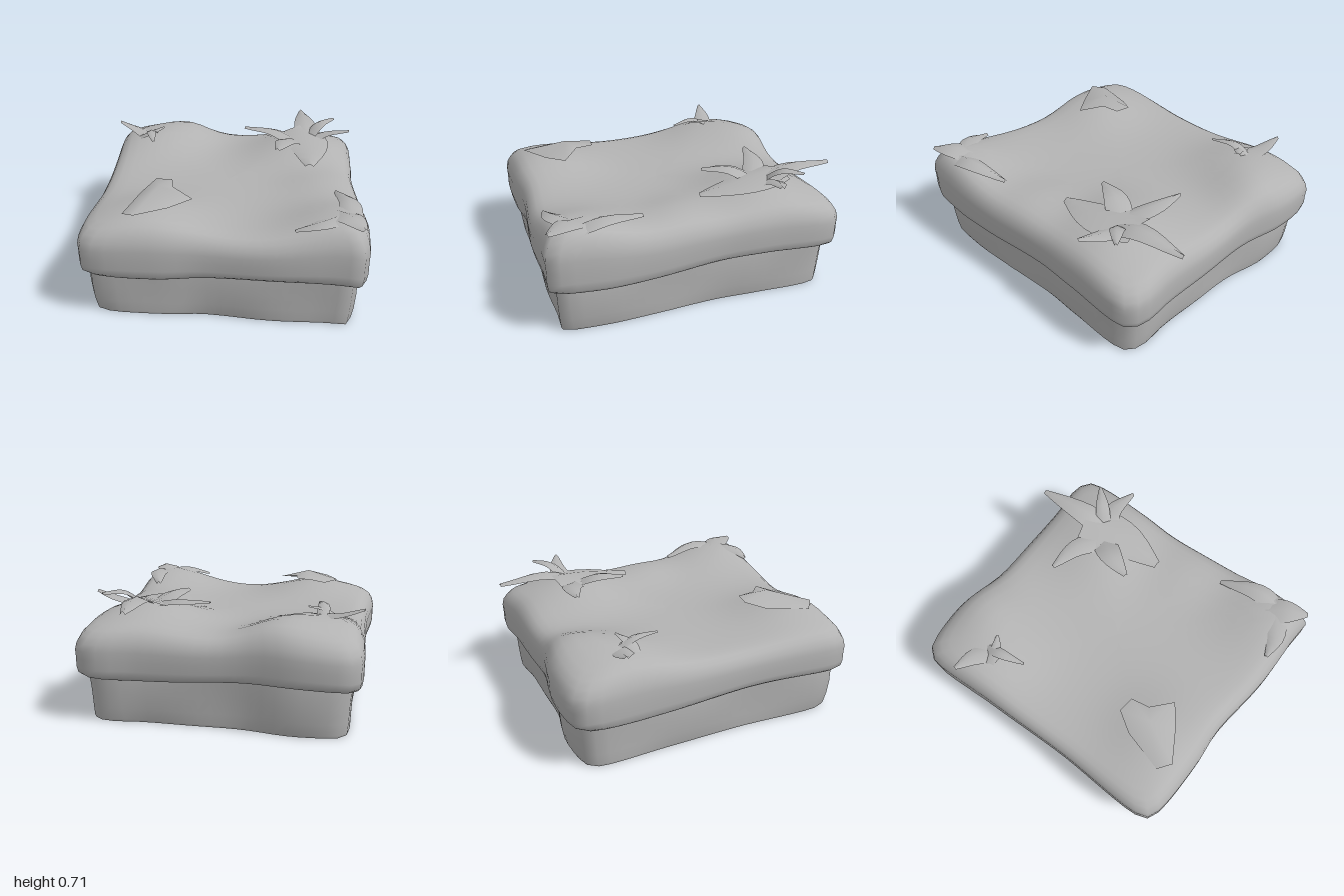
import * as THREE from 'three';

// Plan outline (x, z) of the skewed lid, back left round to front left
const outline = [
  [-0.57, -1], [-0.3, -0.98], [0, -0.87], [0.3, -0.81], [0.6, -0.75], [0.8, -0.73], [0.9, -0.67],
  [0.84, -0.25], [0.78, 0.02], [0.73, 0.45], [0.68, 0.78], [0.6, 1], [0.5, 0.975],
  [0.15, 0.91], [-0.25, 0.79], [-0.5, 0.76], [-0.87, 0.66], [-0.9, 0.6],
  [-0.78, 0], [-0.7, -0.5], [-0.62, -0.96],
].map(([x, z]) => new THREE.Vector3(x, 0, z));
const SEG = 84;
const ring = new THREE.CatmullRomCurve3(outline, true, 'centripetal').getSpacedPoints(SEG).slice(0, SEG);

// Swellings of the soft top: x, z, height, radius
const swells = [
  [-0.5, 0.52, 0.09, 0.3], [-0.42, -0.65, 0.1, 0.3],
  [0.52, -0.36, 0.12, 0.32], [0.53, 0.8, 0.12, 0.32], [-0.18, -0.8, 0.06, 0.2],
  [0.55, 0.2, 0.05, 0.22],
];
function topHeight(x, z) {
  let y = 0.505;
  for (const [cx, cz, h, r] of swells) y += h * Math.exp(-((x - cx) ** 2 + (z - cz) ** 2) / (r * r));
  return y;
}

// Stack of closed rings; place(point, row) gives each vertex
function loft(rows, place) {
  const pos = [], idx = [];
  rows.forEach((row) => ring.forEach((p, i) => pos.push(...place(p, row, i))));
  for (let r = 0; r < rows.length - 1; r++) {
    for (let i = 0; i < SEG; i++) {
      const a = r * SEG + i, b = r * SEG + (i + 1) % SEG;
      idx.push(a, a + SEG, b, b, a + SEG, b + SEG);
    }
  }
  return surface(pos, idx);
}

function surface(pos, idx) {
  const g = new THREE.BufferGeometry();
  g.setAttribute('position', new THREE.Float32BufferAttribute(pos, 3));
  g.setIndex(idx);
  g.computeVertexNormals();
  return g;
}

// Folded pointed strip along a curve, with a raised middle crease
function leaf(points, width, fold) {
  const curve = new THREE.CatmullRomCurve3(points.map((p) => new THREE.Vector3(...p)));
  const n = 8, pos = [], idx = [];
  for (let i = 0; i <= n; i++) {
    const t = i / n, p = curve.getPoint(t), d = curve.getTangent(t);
    const side = new THREE.Vector3(-d.z, 0, d.x).normalize();
    const w = width * (0.18 + 0.82 * Math.sin(Math.PI * (0.3 + 0.7 * t))) * 0.5;
    for (const s of [-1, 0, 1]) {
      pos.push(p.x + side.x * w * s, p.y + (s ? -fold : 0) * (1 - 0.6 * t), p.z + side.z * w * s);
    }
    if (i < n) {
      for (const k of [0, 1]) {
        const a = i * 3 + k;
        idx.push(a, a + 1, a + 3, a + 1, a + 4, a + 3);
      }
    }
  }
  return surface(pos, idx);
}

export function createModel() {
  const model = new THREE.Group();
  const grey = new THREE.MeshStandardMaterial({ color: 0xb3b3b3 });
  const greyThin = new THREE.MeshStandardMaterial({ color: 0xb3b3b3, side: THREE.DoubleSide });
  greyThin.name = 'thin grey cloth';
  grey.name = 'grey cloth';
  const add = (name, geometry, material, parent = model) => {
    const mesh = new THREE.Mesh(geometry, material);
    mesh.name = name;
    parent.add(mesh);
  };

  // Lower wall, gently dented around its length
  const wallRows = [[0, 0.905], [0.015, 0.912], [0.08, 0.922], [0.17, 0.93], [0.25, 0.935], [0.3, 0.935]];
  add('lowerWall', loft(wallRows, (p, [y, s], i) => {
    const dent = 0.01 * Math.sin(i / SEG * Math.PI * 14) * Math.sin(Math.PI * y / 0.3);
    return [p.x * (s + dent), y, p.z * (s + dent)];
  }), grey);

  // Flat underside
  const base = new THREE.Shape(ring.map((p) => new THREE.Vector2(p.x * 0.905, p.z * 0.905)));
  add('underside', new THREE.ShapeGeometry(base).rotateX(Math.PI / 2), greyThin);

  // Overhanging lid side rolling over into the sagging top: scale, height share
  const lidRows = [
    [0.925, 0], [0.97, 0], [0.988, 0.06], [0.997, 0.2], [0.997, 0.4], [1, 0.58], [0.99, 0.74], [0.965, 0.87],
    [0.93, 0.95], [0.88, 0.99], [0.8, 1], [0.7, 1], [0.6, 1], [0.5, 1], [0.4, 1], [0.3, 1], [0.2, 1],
    [0.1, 1], [0, 1],
  ];
  add('paddedLid', loft(lidRows, (p, [s, t], i) => {
    const x = p.x * s, z = p.z * s;
    const low = 0.27 + 0.015 * Math.sin(i / SEG * Math.PI * 8);
    return [x, low + (topHeight(x, z) - low) * t, z];
  }), grey);

  // Torn curled leaves at the corners: path, width, fold
  const tufts = {
    backRightTuft: [
      [[[0.57, 0.6, -0.3], [0.58, 0.68, -0.52], [0.61, 0.66, -0.82]], 0.16, 0.04],
      [[[0.5, 0.61, -0.34], [0.36, 0.65, -0.46], [0.17, 0.655, -0.53]], 0.13, 0.03],
      [[[0.5, 0.61, -0.36], [0.4, 0.66, -0.25], [0.32, 0.65, -0.11]], 0.15, 0.03],
      [[[0.56, 0.62, -0.38], [0.66, 0.7, -0.44], [0.77, 0.7, -0.51]], 0.09, 0.03],
      [[[0.55, 0.61, -0.36], [0.68, 0.65, -0.38], [0.83, 0.68, -0.31]], 0.12, 0.03],
      [[[0.54, 0.66, -0.5], [0.55, 0.63, -0.25], [0.5, 0.59, 0.02]], 0.28, 0.04],
    ],
    backLeftTuft: [
      [[[-0.42, 0.6, -0.56], [-0.53, 0.62, -0.67], [-0.66, 0.66, -0.73]], 0.12, 0.03],
      [[[-0.44, 0.6, -0.66], [-0.46, 0.65, -0.54], [-0.45, 0.63, -0.39]], 0.07, 0.02],
      [[[-0.54, 0.59, -0.6], [-0.46, 0.63, -0.58], [-0.37, 0.65, -0.61]], 0.08, 0.02],
    ],
    frontRightTuft: [
      [[[0.55, 0.6, 0.84], [0.59, 0.64, 0.66], [0.57, 0.59, 0.42]], 0.13, 0.04],
      [[[0.54, 0.62, 0.78], [0.4, 0.62, 0.86], [0.25, 0.58, 0.86]], 0.12, 0.03],
      [[[0.5, 0.62, 0.74], [0.55, 0.64, 0.86], [0.59, 0.62, 0.98]], 0.16, 0.03],
    ],
  };
  for (const [name, leaves] of Object.entries(tufts)) {
    const group = new THREE.Group();
    group.name = name;
    model.add(group);
    leaves.forEach((args) => add('curledLeaf', leaf(...args), greyThin, group));
  }

  // Lifted ragged flap on the front left: domed fan round a raised centre
  const rim = [
    [-0.65, 0.58, 0.57], [-0.54, 0.6, 0.34], [-0.45, 0.635, 0.24], [-0.36, 0.64, 0.27], [-0.36, 0.64, 0.38],
    [-0.26, 0.615, 0.5], [-0.4, 0.6, 0.57], [-0.59, 0.6, 0.64],
  ];
  const idx = rim.flatMap((_, i) => [0, 1 + (i + 1) % rim.length, 1 + i]);
  add('liftedFlap', surface([-0.44, 0.67, 0.42, ...rim.flat()], idx), greyThin);

  return model;
}
